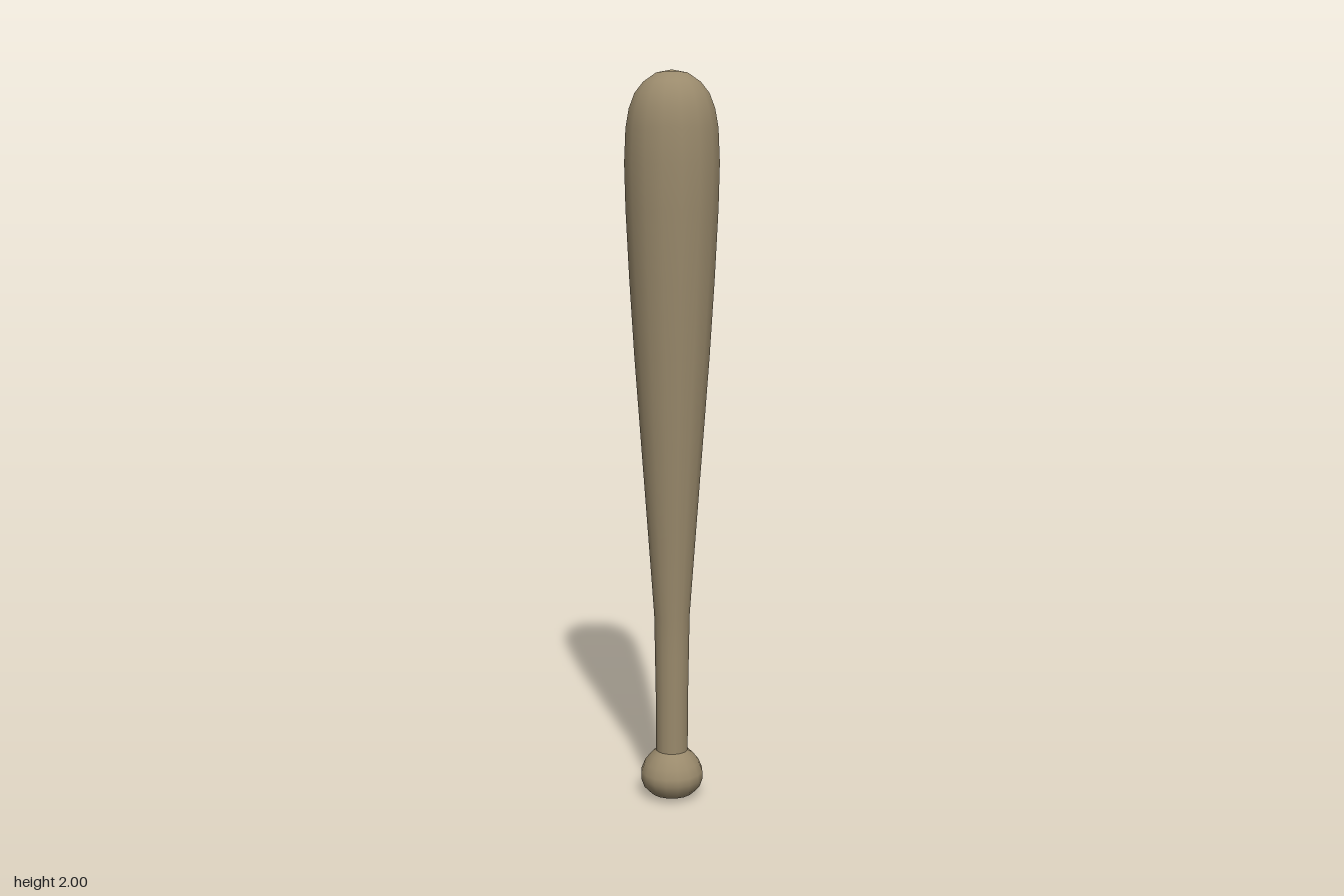
import * as THREE from 'three';

export function createModel() {
  const group = new THREE.Group();
  group.name = 'bat';
  const wood = new THREE.MeshStandardMaterial({ color: 0x9a8a6c });
  const SIDES = 16;

  // Turns a [radius, height] profile (bottom to top) around the y axis
  const turned = (name, profile) => {
    const points = profile.map(([r, y]) => new THREE.Vector2(r, y));
    const mesh = new THREE.Mesh(new THREE.LatheGeometry(points, SIDES), wood);
    mesh.name = name;
    group.add(mesh);
  };

  // Rounded knob at the foot of the handle
  turned('knob', [
    [0, 0], [0.035, 0.003], [0.06, 0.012], [0.079, 0.03], [0.088, 0.055],
    [0.087, 0.075], [0.077, 0.1], [0.06, 0.122], [0.045, 0.136],
  ]);

  // Slim handle flaring into the barrel, closed by a domed end
  turned('handleAndBarrel', [
    [0.045, 0.136], [0.046, 0.3], [0.048, 0.42], [0.05, 0.53], [0.066, 0.75],
    [0.086, 1.02], [0.103, 1.25], [0.116, 1.46], [0.125, 1.64], [0.128, 1.76],
    [0.124, 1.85], [0.115, 1.9], [0.1, 1.939], [0.077, 1.968], [0.042, 1.992],
    [0, 2],
  ]);

  return group;
}
